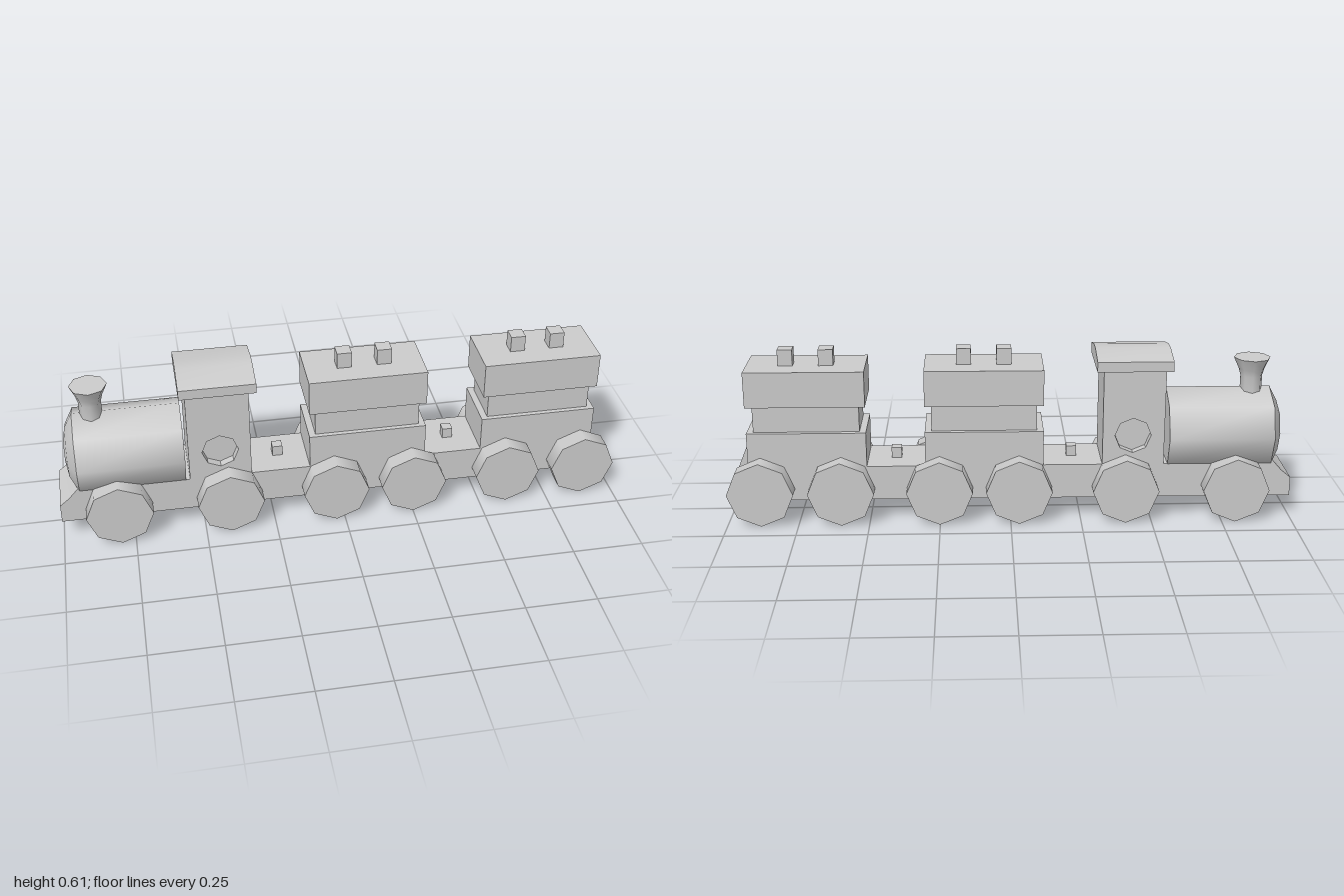
import * as THREE from 'three';
import { toCreasedNormals } from 'three/addons/utils/BufferGeometryUtils.js';

const HALF = 0.107; // half width of the chassis and bodies

export function createModel() {
  const train = new THREE.Group();
  train.name = 'toyTrain';
  const material = new THREE.MeshStandardMaterial({ color: 0xcccccc });

  const add = (name, geometry, parent = train) => {
    const mesh = new THREE.Mesh(geometry, material);
    mesh.name = name;
    parent.add(mesh);
    return mesh;
  };

  // box given by its x range, y range and half depth
  const box = (name, x0, x1, y0, y1, halfZ, parent) =>
    add(name, new THREE.BoxGeometry(x1 - x0, y1 - y0, 2 * halfZ), parent)
      .position.set((x0 + x1) / 2, (y0 + y1) / 2, 0);

  // outline of [x, y] points extruded symmetrically about z = 0
  const prism = (points, depth, hole) => {
    const shape = new THREE.Shape(points.map(([x, y]) => new THREE.Vector2(x, y)));
    if (hole) shape.holes.push(hole);
    return new THREE.ExtrudeGeometry(shape, { depth, bevelEnabled: false })
      .translate(0, 0, -depth / 2);
  };

  // eight-sided turned part from [radius, height] points
  const turned = (points) => toCreasedNormals(
    new THREE.LatheGeometry(points.map(([r, y]) => new THREE.Vector2(r, y)), 8), 0.9);

  // chassis with the sloping nose at the front end
  add('chassis', toCreasedNormals(prism([
    [-1, 0.075], [0.93, 0.075], [0.93, 0.2], [-0.86, 0.2], [-0.88, 0.245],
    [-0.93, 0.212], [-0.965, 0.172], [-1, 0.143],
  ], 2 * HALF), 0.5));

  // wheels in pairs
  const wheelGeometry = new THREE.CylinderGeometry(0.117, 0.117, 0.063, 8).rotateX(Math.PI / 2);
  for (const x of [-0.797, -0.407, -0.03, 0.251, 0.598, 0.881]) {
    for (const side of [-1, 1]) {
      add('wheel', wheelGeometry).position.set(x, 0.118, side * (HALF + 0.0315));
    }
  }

  // boiler with bulging front, lying along x
  const boiler = add('boiler', turned([
    [0, 0.557], [0.15, 0.557], [0.15, 0.927], [0.095, 0.956], [0.045, 0.965], [0, 0.967],
  ]));
  boiler.rotation.z = Math.PI / 2;
  boiler.position.y = 0.303;

  // flared funnel
  add('funnel', turned([
    [0, 0.42], [0.039, 0.42], [0.039, 0.495], [0.046, 0.52], [0.065, 0.561], [0, 0.561],
  ])).position.x = -0.86;

  // cab with a recessed round window on each side
  const windowX = -0.432, windowY = 0.307, windowR = 0.064;
  const windowHole = new THREE.Path();
  for (let i = 0; i < 8; i++) {
    const a = (-i * Math.PI) / 4;
    const x = windowX + windowR * Math.cos(a), y = windowY + windowR * Math.sin(a);
    if (i) windowHole.lineTo(x, y);
    else windowHole.moveTo(x, y);
  }
  windowHole.closePath();
  const cab = new THREE.Group();
  cab.name = 'cab';
  train.add(cab);
  add('cabBody', prism(
    [[-0.543, 0.19], [-0.325, 0.19], [-0.325, 0.55], [-0.543, 0.55]], 2 * HALF, windowHole), cab);
  add('windowPane', new THREE.CylinderGeometry(windowR, windowR, 2 * (HALF - 0.03), 8)
    .rotateX(Math.PI / 2), cab).position.set(windowX, windowY, 0);

  // cab roof, a low arch running along x
  const roof = add('cabRoof', toCreasedNormals(prism([
    [-0.13, 0.547], [0.13, 0.547], [0.13, 0.583], [0.027, 0.605], [-0.027, 0.605], [-0.13, 0.583],
  ], 0.265), 0.5), cab);
  roof.rotation.y = Math.PI / 2;
  roof.position.x = -0.432;

  // two carriages: lower body, narrower waist, upper body, roof vents
  for (const x of [0.092, 0.716]) {
    const car = new THREE.Group();
    car.name = 'carriage';
    car.position.x = x;
    train.add(car);
    box('lowerBody', -0.209, 0.209, 0.19, 0.325, HALF, car);
    box('waist', -0.186, 0.186, 0.32, 0.425, 0.09, car);
    box('upperBody', -0.209, 0.209, 0.42, 0.548, HALF, car);
    for (const v of [-0.071, 0.071]) box('roofVent', v - 0.026, v + 0.026, 0.54, 0.606, 0.026, car);
  }

  // small coupling blocks between the cars
  for (const x of [-0.221, 0.406]) box('coupling', x - 0.018, x + 0.018, 0.19, 0.238, 0.018);

  return train;
}
